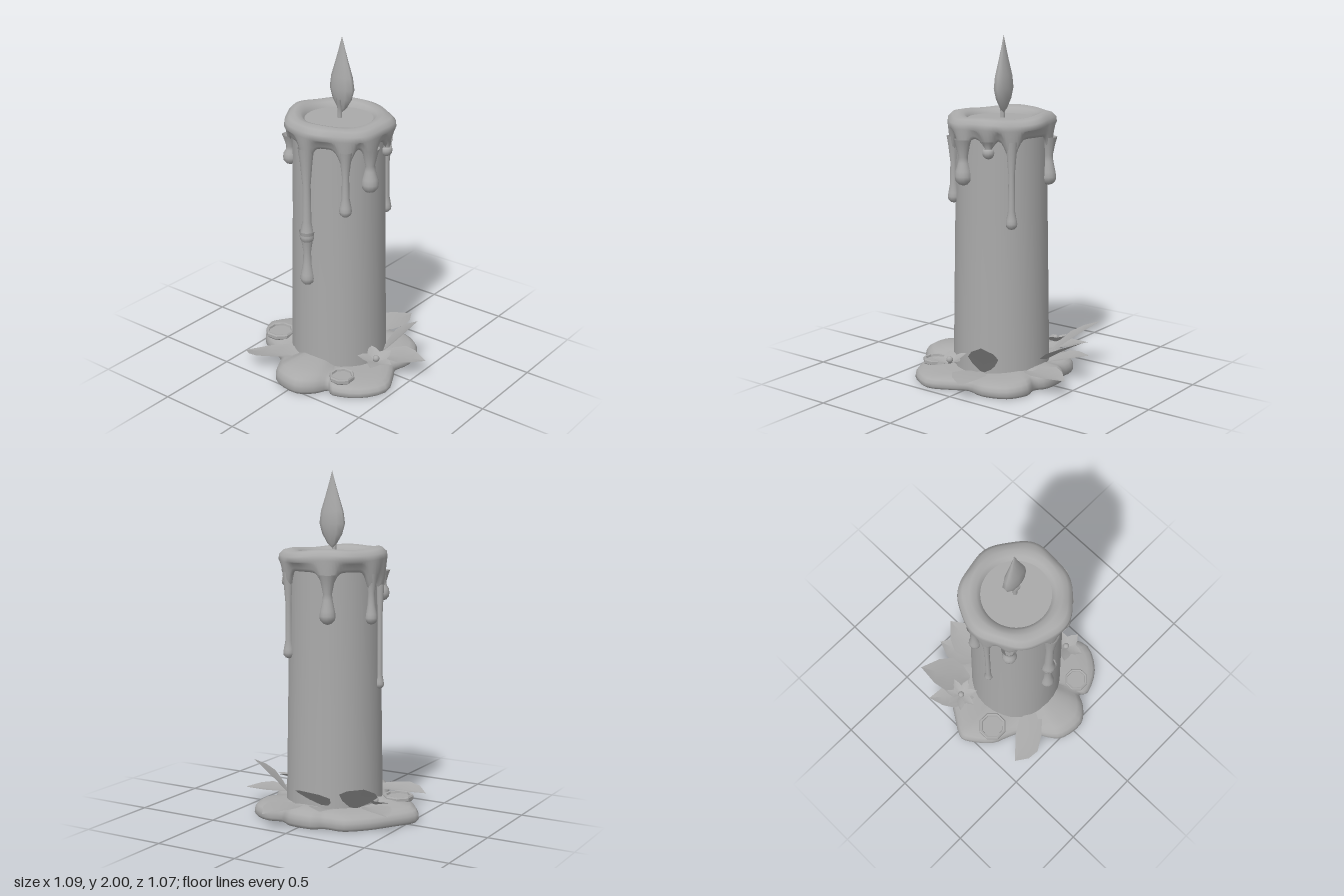
import * as THREE from 'three';

const V = (x, y, z) => new THREE.Vector3(x, y, z);
const CX = -0.012, CZ = 0.02; // candle axis

// Skin closed rings of points, listed from the bottom up (or outside in)
function skin(rings) {
  const n = rings[0].length, pos = [], idx = [];
  rings.forEach(r => r.forEach(p => pos.push(p.x, p.y, p.z)));
  for (let i = 0; i < rings.length - 1; i++) {
    for (let j = 0; j < n; j++) {
      const a = i * n + j, b = i * n + (j + 1) % n;
      idx.push(a, b, a + n, b, b + n, a + n);
    }
  }
  const g = new THREE.BufferGeometry();
  g.setAttribute('position', new THREE.Float32BufferAttribute(pos, 3));
  g.setIndex(idx);
  g.computeVertexNormals();
  return g;
}

// Pointed leaf or petal: base, tip, half-width vector, lift of the edges above the midrib
function leafGeometry(base, tip, side, lift) {
  const rows = [[0, 0.25], [0.2, 0.72], [0.45, 1], [0.7, 0.72], [1, 0]];
  const up = V().crossVectors(side, V().subVectors(tip, base)).normalize();
  if (up.y < 0) up.negate();
  const pos = [], idx = [];
  rows.forEach(([t, w]) => [-1, 0, 1].forEach(s => {
    const p = base.clone().lerp(tip, t).addScaledVector(side, s * w);
    p.addScaledVector(up, (s ? lift * w : 0) + 0.25 * lift * Math.sin(Math.PI * t));
    pos.push(p.x, p.y, p.z);
  }));
  for (let i = 0; i < rows.length - 1; i++) {
    for (let s = 0; s < 2; s++) {
      const a = i * 3 + s;
      idx.push(a, a + 1, a + 3, a + 1, a + 4, a + 3);
    }
  }
  const g = new THREE.BufferGeometry();
  g.setAttribute('position', new THREE.Float32BufferAttribute(pos, 3));
  g.setIndex(idx);
  g.computeVertexNormals();
  return g;
}

export function createModel() {
  const model = new THREE.Group();
  const grey = new THREE.MeshStandardMaterial({ color: 0xaaaaaa, side: THREE.DoubleSide });
  grey.name = 'plain grey';
  const add = (name, geometry, x = 0, y = 0, z = 0, parent = model) => {
    const m = new THREE.Mesh(geometry, grey);
    m.name = name;
    m.position.set(x, y, z);
    parent.add(m);
    return m;
  };
  const lathe = (pts, n) => new THREE.LatheGeometry(pts.map(p => new THREE.Vector2(...p)), n);

  // Candle body
  add('candleBody', lathe([[0.285, 0.04], [0.281, 0.25], [0.275, 0.6], [0.268, 1], [0.264, 1.48]], 28), CX, 0, CZ);

  // Drips: angle around the axis (0 = front, + towards +x), lowest point, bulb radius
  const drips = [
    [-0.05, 0.85, 0.043], [0.79, 1.04, 0.036], [1.33, 1.165, 0.05], [1.95, 1.33, 0.034],
    [2.42, 0.93, 0.033], [-2.76, 1.15, 0.046], [-1.78, 1.14, 0.036], [-1.42, 0.757, 0.026], [-0.93, 1.25, 0.042],
  ];

  // Melted wax collar, its lower edge pulled down at each drip
  const N = 108;
  const collar = Array.from({ length: 11 }, () => []);
  for (let j = 0; j < N; j++) {
    const a = j / N * Math.PI * 2;
    let low = 1.45, pull = 0;
    drips.forEach(([d, bottom]) => {
      const off = Math.atan2(Math.sin(a - d), Math.cos(a - d));
      const k = Math.exp(-((off / 0.15) ** 2));
      pull = Math.max(pull, k * (bottom < 1.2 ? 1 : 0.5));
    });
    low -= 0.13 * pull;
    const wob = 0.007 * Math.sin(3 * a + 1) + 0.006 * Math.sin(7 * a);
    const top = -0.01 * Math.sin(a) + 0.006 * Math.sin(4 * a + 0.5);
    const profile = [
      [0.258, low + 0.01], [0.276, low - 0.008], [0.289, low + 0.01], [0.298 + wob * 0.5, low + 0.04],
      [0.313 + wob, 1.5 + top], [0.309 + wob, 1.53 + top], [0.285 + wob, 1.553 + top],
      [0.25, 1.562 + top], [0.215, 1.553 + top * 0.6], [0.196, 1.535], [0.187, 1.515],
    ];
    profile.forEach(([r, y], i) => collar[i].push(V(CX + r * Math.sin(a), y, CZ + r * Math.cos(a))));
  }
  add('waxCollar', skin(collar));
  const pool = add('waxPool', new THREE.CircleGeometry(0.2, 24), CX, 1.53, CZ);
  pool.rotation.x = -Math.PI / 2;

  // Hanging drips: thin stem that swells to a bulb
  const drip = (a, bottom, r, top) => {
    const h = top - bottom;
    const pts = [[0, 0], [r * 0.55, r * 0.2], [r * 0.92, r * 0.6], [r, r * 1.1], [r * 0.9, r * 1.7],
      [r * 0.62, Math.min(r * 3.2, h * 0.5)], [r * 0.55, h * 0.62], [r * 0.85, h * 0.86], [r * 1.1, h]];
    const R = 0.277;
    add('waxDrip', lathe(pts, 14), CX + R * Math.sin(a), bottom, CZ + R * Math.cos(a));
  };
  drips.forEach(([a, bottom, r]) => drip(a, bottom, r, 1.43));
  drip(-0.05, 0.59, 0.042, 0.93);

  // Wick and flame
  const wickPath = new THREE.CatmullRomCurve3([V(-0.012, 1.51, 0.012), V(-0.012, 1.58, 0.014), V(-0.006, 1.645, 0.03)]);
  add('wick', new THREE.TubeGeometry(wickPath, 6, 0.013, 8));
  const flame = add('flame', lathe([[0, 1.56], [0.03, 1.585], [0.064, 1.64], [0.082, 1.7], [0.072, 1.77],
    [0.045, 1.85], [0.02, 1.93], [0, 2]], 10), -0.006, 0, 0);
  flame.scale.z = 0.46;

  // Lobed wax puddle: outline with its local height
  const outline = [
    [0.06, 0.535, 0.12], [0.15, 0.47, 0.11], [0.195, 0.395, 0.09], [0.25, 0.42, 0.08], [0.39, 0.35, 0.075],
    [0.475, 0.205, 0.07], [0.42, 0.06, 0.07], [0.375, -0.03, 0.07], [0.4, -0.15, 0.08], [0.35, -0.29, 0.085],
    [0.235, -0.35, 0.09], [0.14, -0.33, 0.09], [0.06, -0.375, 0.1], [-0.08, -0.375, 0.1], [-0.15, -0.33, 0.09],
    [-0.27, -0.32, 0.09], [-0.38, -0.22, 0.09], [-0.46, -0.1, 0.09], [-0.54, 0.03, 0.095], [-0.525, 0.1, 0.1],
    [-0.43, 0.215, 0.1], [-0.33, 0.26, 0.09], [-0.22, 0.32, 0.09], [-0.155, 0.44, 0.1], [-0.085, 0.515, 0.12],
  ].map(([x, z, h]) => V(x, h, z));
  const edge = new THREE.CatmullRomCurve3(outline, true, 'catmullrom', 0.5).getPoints(75).slice(0, 75);
  const puddle = [[0, 0], [0.97, 0], [1, 0.2], [0.995, 0.5], [0.965, 0.75], [0.9, 0.92], [0.78, 1], [0.62, 1.08], [0.3, 1.08]]
    .map(([s, k]) => edge.map(p => V(p.x * s, p.y * k, p.z * s)));
  add('waxPuddle', skin(puddle));

  // Octagonal dishes with a raised rim set into the puddle
  [[-0.365, 0.155, 0.09, 0.085], [0.24, 0.32, 0.075, 0.065]].forEach(([x, z, r, y]) => {
    const dish = add('octagonDish', lathe([[r * 0.9, 0], [r, 0.01], [r, 0.028], [r * 0.93, 0.036],
      [r * 0.8, 0.034], [r * 0.77, 0.022], [0, 0.022]], 8).toNonIndexed(), x, y, z);
    dish.geometry.computeVertexNormals();
    dish.rotation.y = Math.PI / 8;
  });

  // Leaves round the foot: base, tip, half-width vector
  [
    [[-0.10, 0.10, 0.32], [-0.42, 0.07, 0.41], [-0.035, 0, 0.115]],
    [[-0.25, 0.10, -0.17], [-0.44, 0.29, -0.40], [0.09, 0.01, -0.06]],
    [[-0.29, 0.09, -0.08], [-0.515, 0.11, -0.265], [0.06, 0, -0.06]],
    [[-0.12, 0.09, -0.24], [-0.205, 0.15, -0.475], [0.09, 0, -0.03]],
    [[-0.08, 0.10, -0.23], [-0.085, 0.26, -0.50], [0.112, 0, 0.01]],
    [[0.08, 0.09, -0.23], [0.135, 0.10, -0.535], [0.105, 0, 0.015]],
    [[0.26, 0.09, -0.06], [0.43, 0.30, -0.17], [0.05, 0.01, 0.07]],
    [[0.28, 0.09, -0.02], [0.54, 0.10, -0.10], [0.035, 0, 0.095]],
  ].forEach(([b, t, w]) => add('leaf', leafGeometry(V(...b), V(...t), V(...w), 0.018)));

  // Small flowers with pointed petals round a bead
  [[-0.36, 0.13, -0.13, 7, 0.105, 0.1], [0.34, 0.13, 0.125, 5, 0.11, 0.3]].forEach(([x, y, z, n, r, turn]) => {
    const flower = new THREE.Group();
    flower.name = 'flower';
    flower.position.set(x, y, z);
    flower.rotation.set(0.15, turn, x > 0 ? -0.15 : 0.15);
    for (let i = 0; i < n; i++) {
      const petal = leafGeometry(V(0, 0, 0.008), V(0, 0.035, r), V(r * 1.7 / n, 0, 0), 0.008);
      add('petal', petal, 0, 0, 0, flower).rotation.y = i / n * Math.PI * 2;
    }
    add('flowerBead', new THREE.SphereGeometry(0.02, 10, 8), 0, 0.022, 0, flower);
    model.add(flower);
  });

  return model;
}
